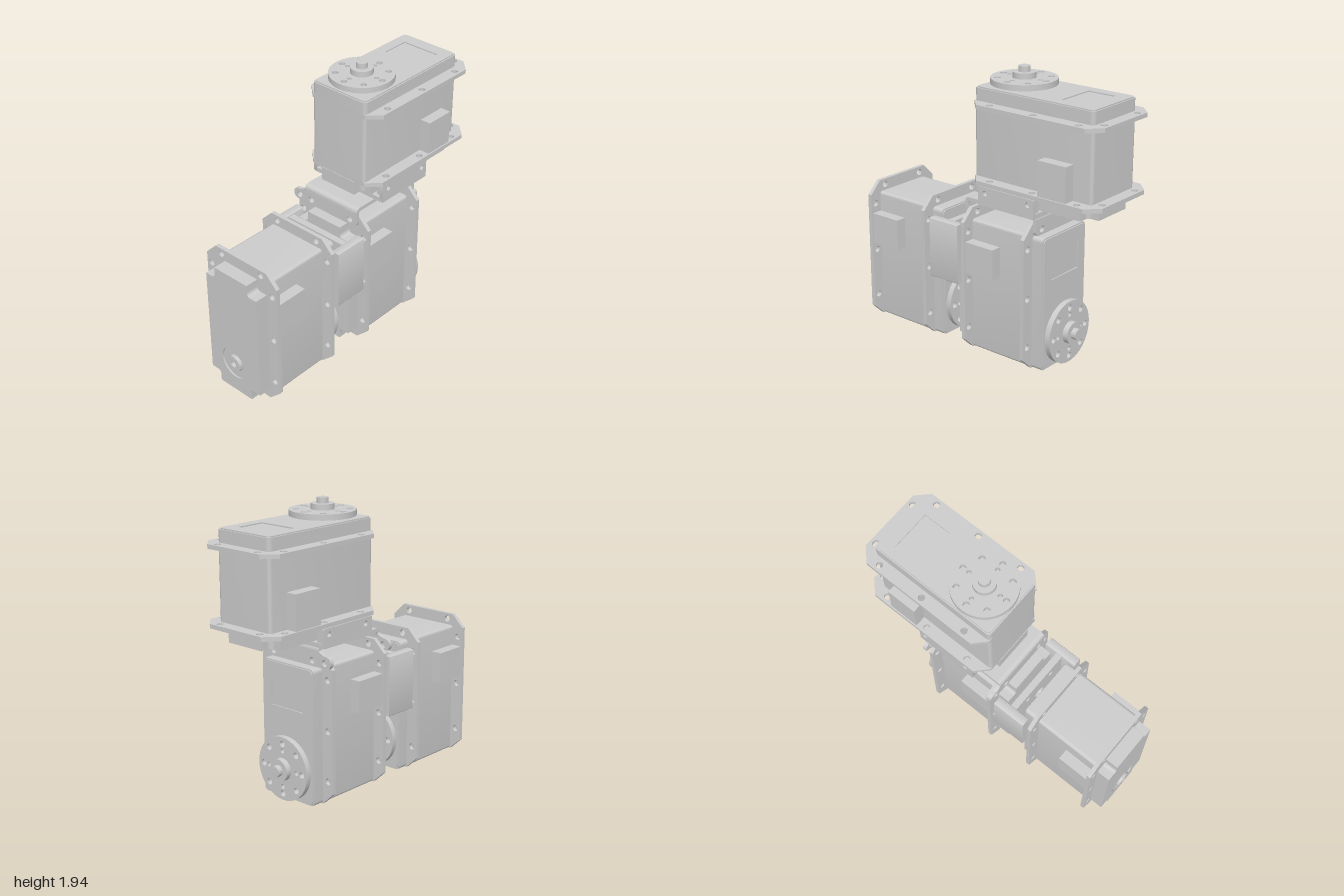
import * as THREE from 'three';
import { toCreasedNormals } from 'three/addons/utils/BufferGeometryUtils.js';

const grey = new THREE.MeshStandardMaterial({ color: 0xcccccc });

function add(parent, name, geometry, x = 0, y = 0, z = 0) {
  const mesh = new THREE.Mesh(geometry, grey);
  mesh.name = name;
  mesh.position.set(x, y, z);
  parent.add(mesh);
  return mesh;
}

// Extrudes a shape along z from z0 to z1, keeping hard edges sharp
function slab(shape, z0, z1, bevel = 0) {
  const g = new THREE.ExtrudeGeometry(shape, {
    depth: z1 - z0 - 2 * bevel, curveSegments: 20, bevelEnabled: bevel > 0,
    bevelThickness: bevel, bevelSize: bevel, bevelOffset: -bevel, bevelSegments: 2,
  });
  g.translate(0, 0, z0 + bevel);
  return toCreasedNormals(g, 0.6);
}

function disc(r) {
  return new THREE.Shape().absarc(0, 0, r, 0, Math.PI * 2, false);
}

function punch(shape, x, y, r) {
  shape.holes.push(new THREE.Path().absarc(x, y, r, 0, Math.PI * 2, true));
}

function rect(x0, y0, x1, y1, r = 0.02) {
  const s = new THREE.Shape();
  s.moveTo(x0 + r, y0).lineTo(x1 - r, y0).quadraticCurveTo(x1, y0, x1, y0 + r);
  s.lineTo(x1, y1 - r).quadraticCurveTo(x1, y1, x1 - r, y1);
  s.lineTo(x0 + r, y1).quadraticCurveTo(x0, y1, x0, y1 - r);
  s.lineTo(x0, y0 + r).quadraticCurveTo(x0, y0, x0 + r, y0);
  return s;
}

const W = 0.2225, H = 0.92, AXIS = 0.225;

// Rear cap outline: a rectangle with a rounded notch at each corner
function notchedOutline() {
  const n = 0.08, r = 0.03, s = new THREE.Shape();
  s.moveTo(-W + n, 0).lineTo(W - n, 0);
  s.lineTo(W - n, n - r).quadraticCurveTo(W - n, n, W - n + r, n).lineTo(W, n);
  s.lineTo(W, H - n).lineTo(W - n + r, H - n).quadraticCurveTo(W - n, H - n, W - n, H - n + r);
  s.lineTo(W - n, H).lineTo(-W + n, H);
  s.lineTo(-W + n, H - n + r).quadraticCurveTo(-W + n, H - n, -W + n - r, H - n).lineTo(-W, H - n);
  s.lineTo(-W, n).lineTo(-W + n - r, n).quadraticCurveTo(-W + n, n, -W + n, n - r);
  s.closePath();
  return s;
}

// Mounting flange with chamfered corners and screw holes
function flangeOutline() {
  const F = 0.3075, c = 0.085;
  const s = new THREE.Shape([
    [-F, c], [-F + c, 0.004], [F - c, 0.004], [F, c],
    [F, 1 - c], [F - c, 1], [-F + c, 1], [-F, 1 - c],
  ].map(([x, y]) => new THREE.Vector2(x, y)));
  for (const side of [-1, 1]) {
    for (const y of [0.165, 0.505, 0.845]) punch(s, side * 0.268, y, 0.022);
    punch(s, side * 0.172, 0.96, 0.022);
  }
  return s;
}

// One servo: output axis along -z, long side along y
function makeServo(name) {
  const g = new THREE.Group();
  g.name = name;

  add(g, 'servoBody', slab(rect(-W, 0.004, W, H, 0.025), 0.37, 0.875));
  for (const z of [0.37, 0.865]) add(g, 'mountingFlange', slab(flangeOutline(), z, z + 0.028));

  // Rear cap with a shallow bearing seat and idler boss
  add(g, 'rearCap', slab(notchedOutline(), 0.89, 0.975));
  const seat = notchedOutline();
  punch(seat, 0, AXIS, 0.115);
  add(g, 'rearCapFace', slab(seat, 0.975, 0.985));
  const boss = disc(0.06);
  punch(boss, 0, 0, 0.024);
  add(g, 'idlerBoss', slab(boss, 0.97, 1), 0, AXIS);

  // Front cap with a shallow rectangular recess
  add(g, 'frontCap', slab(rect(-W, 0.004, W, H, 0.03), 0.288, 0.37));
  const face = rect(-W + 0.008, 0.012, W - 0.008, H - 0.008, 0.03);
  face.holes.push(new THREE.Path([
    [-0.14, 0.62], [-0.14, 0.82], [0.14, 0.82], [0.14, 0.62],
  ].map(([x, y]) => new THREE.Vector2(x, y))));
  add(g, 'frontCapFace', slab(face, 0.28, 0.288));

  // Output horn, hub and shaft
  const horn = disc(0.215);
  for (let i = 0; i < 8; i++) {
    const a = i * Math.PI / 4;
    punch(horn, 0.17 * Math.cos(a), 0.17 * Math.sin(a), 0.021);
    if (i % 2 === 0) punch(horn, 0.122 * Math.cos(a), 0.122 * Math.sin(a), 0.016);
  }
  add(g, 'hornCollar', slab(disc(0.07), 0.265, 0.285), 0, AXIS);
  add(g, 'outputHorn', slab(horn, 0.23, 0.268), 0, AXIS);
  add(g, 'hornHub', slab(disc(0.075), 0.192, 0.23), 0, AXIS);
  add(g, 'outputShaft', slab(disc(0.038), 0.155, 0.195), 0, AXIS);

  // Cable sockets on both sides
  for (const side of [-1, 1]) {
    add(g, 'cableSocket', new THREE.BoxGeometry(0.08, 0.215, 0.235), side * 0.258, 0.673, 0.752);
  }
  return g;
}

// H-shaped link: two side plates joined by a web, lying between servos
function makeSideBracket(name) {
  const g = new THREE.Group();
  g.name = name;
  const y0 = 0.465, y1 = 0.88;
  for (const side of [-1, 1]) {
    add(g, 'bracketSidePlate', slab(rect(-0.032, y0, 0.032, y1, 0.01), 0.083, 0.328), side * 0.272);
  }
  const web = rect(-0.25, y0 + 0.01, 0.25, y1 - 0.01, 0.01);
  punch(web, 0, 0.67, 0.05);
  for (const x of [-0.12, 0.12]) for (const y of [0.55, 0.79]) punch(web, x, y, 0.022);
  add(g, 'bracketWeb', slab(web, 0.175, 0.222));
  return g;
}

// Bent strap over the middle servo with an eared leg on each end
function makeStrap() {
  const g = new THREE.Group();
  g.name = 'strapBracket';
  const t = 0.026, z0 = -0.51, z1 = 0.075, top = 1.066, r = 0.035;
  // Side profile drawn in (z, y), then turned to run along x
  const p = new THREE.Shape();
  p.moveTo(z0, 1.01).lineTo(z0, top - r).quadraticCurveTo(z0, top, z0 + r, top);
  p.lineTo(z1 - r, top).quadraticCurveTo(z1, top, z1, top - r).lineTo(z1, 1.01);
  p.lineTo(z1 - t, 1.01).lineTo(z1 - t, top - r).quadraticCurveTo(z1 - t, top - t, z1 - r, top - t);
  p.lineTo(z0 + r, top - t).quadraticCurveTo(z0 + t, top - t, z0 + t, top - r).lineTo(z0 + t, 1.01);
  p.closePath();
  const plate = slab(p, -0.23, 0.225);
  plate.rotateY(-Math.PI / 2);
  add(g, 'strapPlate', plate);
  const leg = new THREE.Shape();
  leg.moveTo(0.23, 1.035).lineTo(-0.225, 1.035);
  leg.quadraticCurveTo(-0.25, 1.01, -0.29, 1.008);
  leg.absarc(-0.288, 0.968, 0.04, Math.PI / 2, Math.PI * 1.5, false);
  leg.lineTo(0.2, 0.928).quadraticCurveTo(0.23, 0.928, 0.23, 0.96);
  leg.closePath();
  for (const x of [-0.275, -0.17, 0.17]) punch(leg, x, 0.965, 0.022);
  for (const z of [z0, z1 - t]) add(g, 'strapLeg', slab(leg, z, z + t));
  return g;
}

// Channel under the upper servo: floor plate and two drilled cheeks
function makeCradle() {
  const g = new THREE.Group();
  g.name = 'upperCradle';
  add(g, 'cradleFloor', new THREE.BoxGeometry(0.6, 0.03, 0.445), 0, 1.083, -0.3175);
  for (const side of [-1, 1]) {
    const cheek = rect(-0.54, 1.068, -0.095, 1.195, 0.008);
    for (const z of [-0.155, -0.495]) punch(cheek, z, 1.155, 0.018);
    const geo = slab(cheek, -0.0125, 0.0125);
    geo.rotateY(-Math.PI / 2);
    add(g, 'cradleCheek', geo, side * 0.29);
    // Inner screw pads
    for (const z of [-0.155, -0.495]) {
      add(g, 'cradlePad', new THREE.BoxGeometry(0.045, 0.1, 0.07), side * 0.255, 1.14, z);
    }
  }
  return g;
}

export function createModel() {
  const model = new THREE.Group();
  model.name = 'servoArm';

  const lowerFront = makeServo('frontServo');
  const lowerRear = makeServo('middleServo');
  lowerRear.position.z = -0.845;
  // The upper servo lies back with its horn facing up
  const upper = makeServo('upperServo');
  upper.rotation.set(-Math.PI / 2, Math.PI, 0);
  upper.position.y = 2.093;

  model.add(lowerFront, lowerRear, upper, makeSideBracket('linkBracket'), makeStrap(), makeCradle());
  model.children.forEach((part) => { part.position.x += 0.0075; });
  return model;
}
